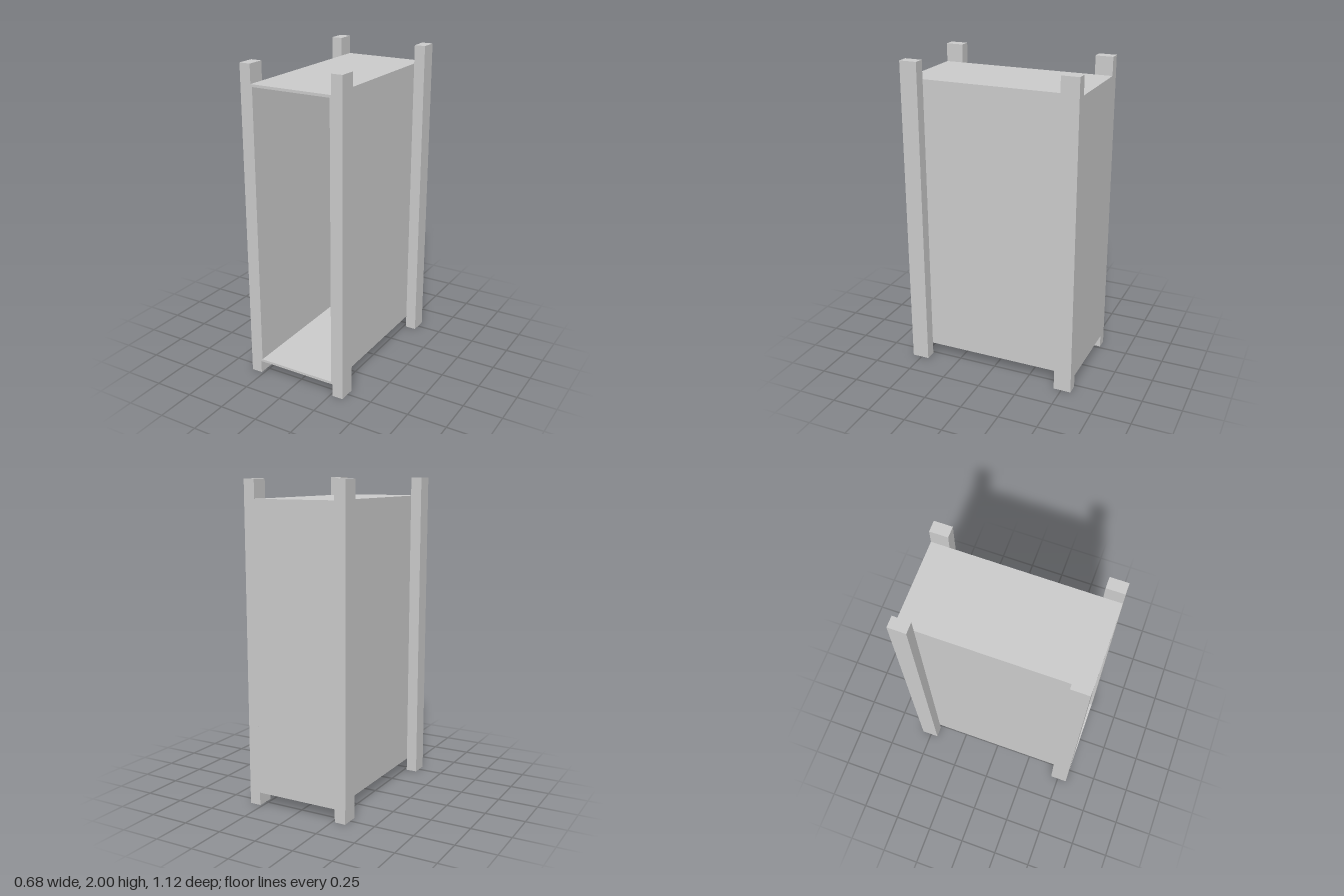
import * as THREE from 'three';

const material = new THREE.MeshStandardMaterial({ color: 0xcccccc, flatShading: true });

// Axis-aligned board given by its minimum and maximum corners
function board(name, [x0, y0, z0], [x1, y1, z1]) {
  const mesh = new THREE.Mesh(new THREE.BoxGeometry(x1 - x0, y1 - y0, z1 - z0), material);
  mesh.position.set((x0 + x1) / 2, (y0 + y1) / 2, (z0 + z1) / 2);
  mesh.name = name;
  return mesh;
}

export function createModel() {
  const model = new THREE.Group();
  model.name = 'openCabinet';

  const W = 0.267, D = 0.562;        // half width and half depth of the case
  const bottom = 0.082, top = 1.884; // case height range
  const side = 0.01, slab = 0.016;   // panel thicknesses
  const postX = 0.338, postZ = 0.45; // post outer x and inner z
  const inner = W - side, back = -D + side;

  // Case, open at the front
  model.add(
    board('bottomPanel', [-inner, bottom, back], [inner, bottom + slab, D]),
    board('topPanel', [-inner, top - slab, back], [inner, top, D]),
    board('leftPanel', [inner, bottom, back], [W, top, D]),
    board('rightPanel', [-W, bottom, back], [-inner, top, D]),
    board('backPanel', [-W, bottom, -D], [W, top, back]),
  );

  // Corner posts, standing outside the side panels
  for (const sx of [1, -1]) {
    for (const sz of [1, -1]) {
      const name = (sz > 0 ? 'front' : 'back') + (sx > 0 ? 'Left' : 'Right') + 'Post';
      const post = board(name, [W, 0, postZ], [postX, 2, D]);
      post.position.x *= sx;
      post.position.z *= sz;
      model.add(post);
    }
  }
  return model;
}
